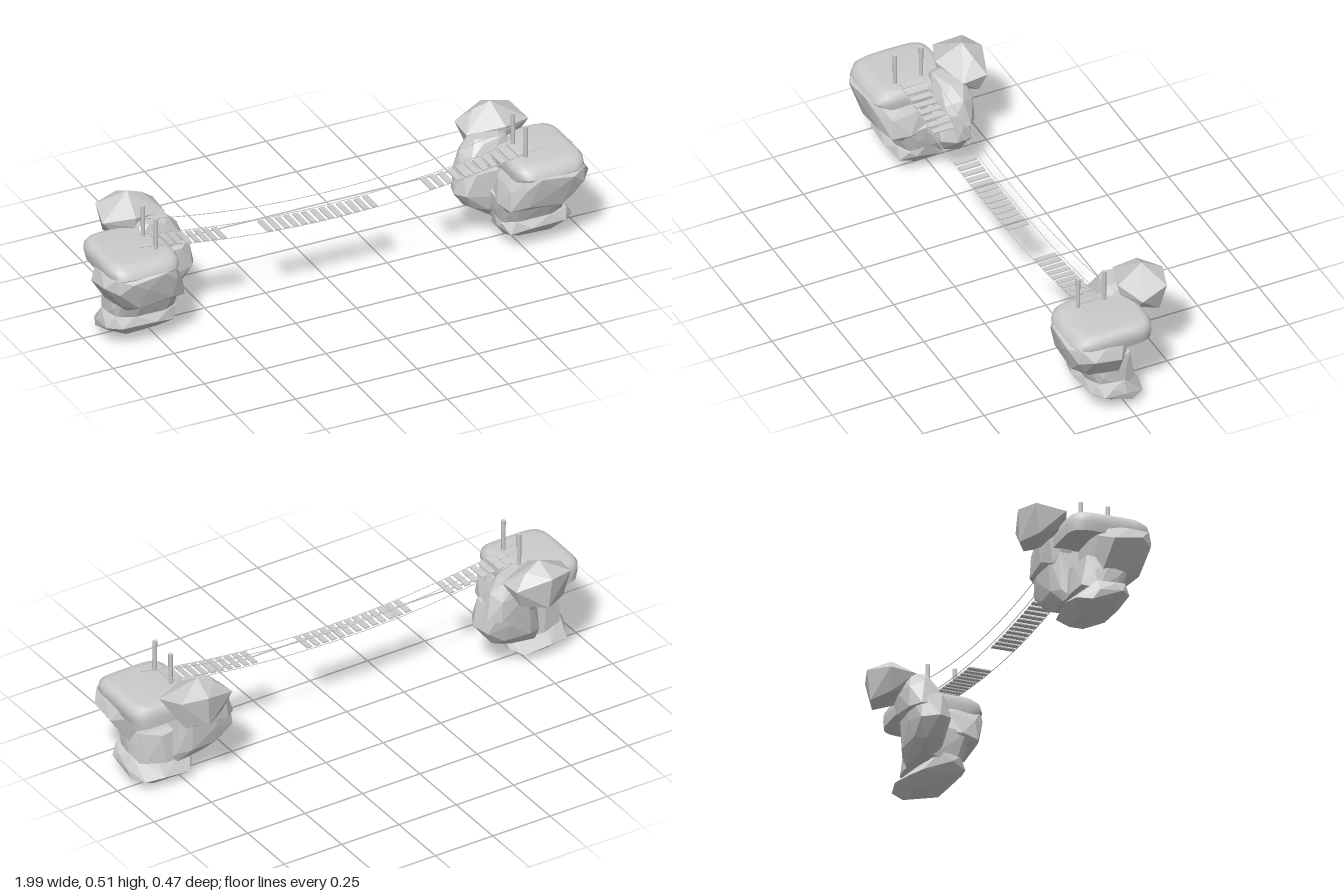
import * as THREE from 'three';
import { ConvexGeometry } from 'three/addons/geometries/ConvexGeometry.js';
import { toCreasedNormals } from 'three/addons/utils/BufferGeometryUtils.js';

const smooth = new THREE.MeshStandardMaterial({ color: 0xcccccc });
const faceted = new THREE.MeshStandardMaterial({ color: 0xcccccc, flatShading: true });

function add(parent, geometry, name, material = smooth) {
  const mesh = new THREE.Mesh(geometry, material);
  mesh.name = name;
  parent.add(mesh);
  return mesh;
}

// Boxy ring of points; a ring is [y, xMin, xMax, zMin, zMax], a lower power is squarer
function ringPoints([y, x0, x1, z0, z1], sides, phase, side, power, wobble) {
  const points = [];
  for (let i = 0; i < sides; i++) {
    const a = phase + (i / sides) * Math.PI * 2;
    const c = Math.cos(a), s = Math.sin(a);
    const px = Math.sign(c) * Math.abs(c) ** power, pz = Math.sign(s) * Math.abs(s) ** power;
    points.push(new THREE.Vector3(
      side * ((x0 + x1) / 2 + px * (x1 - x0) / 2),
      y + wobble * Math.sin(i * 2.4 + phase * 5),
      (z0 + z1) / 2 + pz * (z1 - z0) / 2));
  }
  return points;
}

// Chunky boulders that stack up to one cliff
const boulders = {
  upperCliff: { sides: 10, rings: [[0.33, 0.70, 0.98, -0.005, 0.237], [0.285, 0.67, 1.0, -0.005, 0.228],
    [0.205, 0.65, 0.94, -0.01, 0.205], [0.165, 0.68, 0.92, -0.005, 0.14]] },
  middleCliff: { sides: 9, rings: [[0.22, 0.65, 0.93, -0.05, 0.18], [0.165, 0.66, 0.93, -0.04, 0.15],
    [0.1, 0.67, 0.93, -0.06, 0.13]] },
  lowerCliff: { sides: 9, rings: [[0.12, 0.665, 0.95, -0.005, 0.14], [0.085, 0.665, 0.96, -0.03, 0.155],
    [0.045, 0.69, 0.945, -0.085, 0.1], [0.012, 0.74, 0.86, -0.04, 0.03]] },
  sideRockTop: { sides: 8, rings: [[0.402, 0.63, 0.76, -0.12, -0.01], [0.345, 0.58, 0.79, -0.135, 0.01],
    [0.255, 0.55, 0.77, -0.13, 0.02]] },
  sideRockBase: { sides: 8, rings: [[0.3, 0.56, 0.78, -0.115, 0.03], [0.205, 0.535, 0.78, -0.11, 0.04],
    [0.14, 0.59, 0.8, -0.1, 0.03], [0.1, 0.67, 0.8, -0.07, 0.01]] },
};

// Angular outcrop leaning out behind the platform
const outcropPoints = [
  [0.745, 0.488, -0.147], [0.75, 0.445, -0.232], [0.85, 0.435, -0.2], [0.875, 0.41, -0.09],
  [0.76, 0.425, -0.045], [0.62, 0.4, -0.09], [0.62, 0.41, -0.19], [0.68, 0.46, -0.16],
  [0.74, 0.32, -0.222], [0.83, 0.325, -0.18], [0.83, 0.36, -0.09], [0.75, 0.31, -0.15],
  [0.65, 0.33, -0.17], [0.67, 0.35, -0.09], [0.76, 0.385, -0.05]];

// Flat-topped slab with a soft upper rim
const platformRings = [[0.303, 0.695, 0.965, -0.102, 0.2], [0.335, 0.69, 0.975, -0.102, 0.224],
  [0.362, 0.69, 0.975, -0.1, 0.215], [0.378, 0.702, 0.962, -0.09, 0.195], [0.383, 0.72, 0.945, -0.075, 0.165]];

function buildCliff(side) {
  const cliff = new THREE.Group();
  cliff.name = side > 0 ? 'leftCliff' : 'rightCliff';
  Object.entries(boulders).forEach(([name, { sides, rings }], k) => {
    const points = rings.flatMap((ring, i) => ringPoints(ring, sides, k * 0.7 + i * 0.3, side, 0.65, 0.01));
    add(cliff, new ConvexGeometry(points), name, faceted);
  });
  add(cliff, new ConvexGeometry(outcropPoints.map(([x, y, z]) => new THREE.Vector3(side * x, y, z))),
    'outcrop', faceted);
  const slab = platformRings.flatMap(ring => ringPoints(ring, 32, 0, side, 0.42, 0));
  add(cliff, toCreasedNormals(new ConvexGeometry(slab), 0.75), 'platform');
  // Bridge posts
  for (const z of [0.12, 0.013]) {
    add(cliff, new THREE.CylinderGeometry(0.009, 0.008, 0.15, 8), 'post').position.set(side * 0.76, 0.436, z);
  }
  return cliff;
}

const deckHeight = x => 0.32 + 0.12 * x * x;
const railHeight = x => 0.37 + 0.139 * x * x;

// Hanging rope following a height rule
function ropeGeometry(height, reach, z) {
  const points = [];
  for (let i = 0; i <= 16; i++) {
    const x = reach * (i / 8 - 1);
    points.push(new THREE.Vector3(x, height(x), z));
  }
  return new THREE.TubeGeometry(new THREE.CatmullRomCurve3(points), 48, 0.0014, 6);
}

function buildBridge() {
  const bridge = new THREE.Group();
  bridge.name = 'bridge';
  add(bridge, ropeGeometry(deckHeight, 0.83, 0.113), 'frontDeckRope');
  add(bridge, ropeGeometry(deckHeight, 0.76, 0.012), 'backDeckRope');
  add(bridge, ropeGeometry(railHeight, 0.76, 0.006), 'handRope');
  // Planks in three runs, with gaps where some are missing
  const plank = new THREE.BoxGeometry(0.023, 0.005, 0.086);
  for (const [start, count] of [[-0.725, 8], [-0.285, 13], [0.385, 11]]) {
    for (let i = 0; i < count; i++) {
      const x = start + i * 0.036;
      const mesh = add(bridge, plank, 'plank');
      mesh.position.set(x, deckHeight(x), 0.066);
      mesh.rotation.z = Math.atan(0.24 * x);
    }
  }
  return bridge;
}

export function createModel() {
  const model = new THREE.Group();
  model.name = 'ropeBridge';
  model.add(buildCliff(1), buildCliff(-1), buildBridge());
  return model;
}
